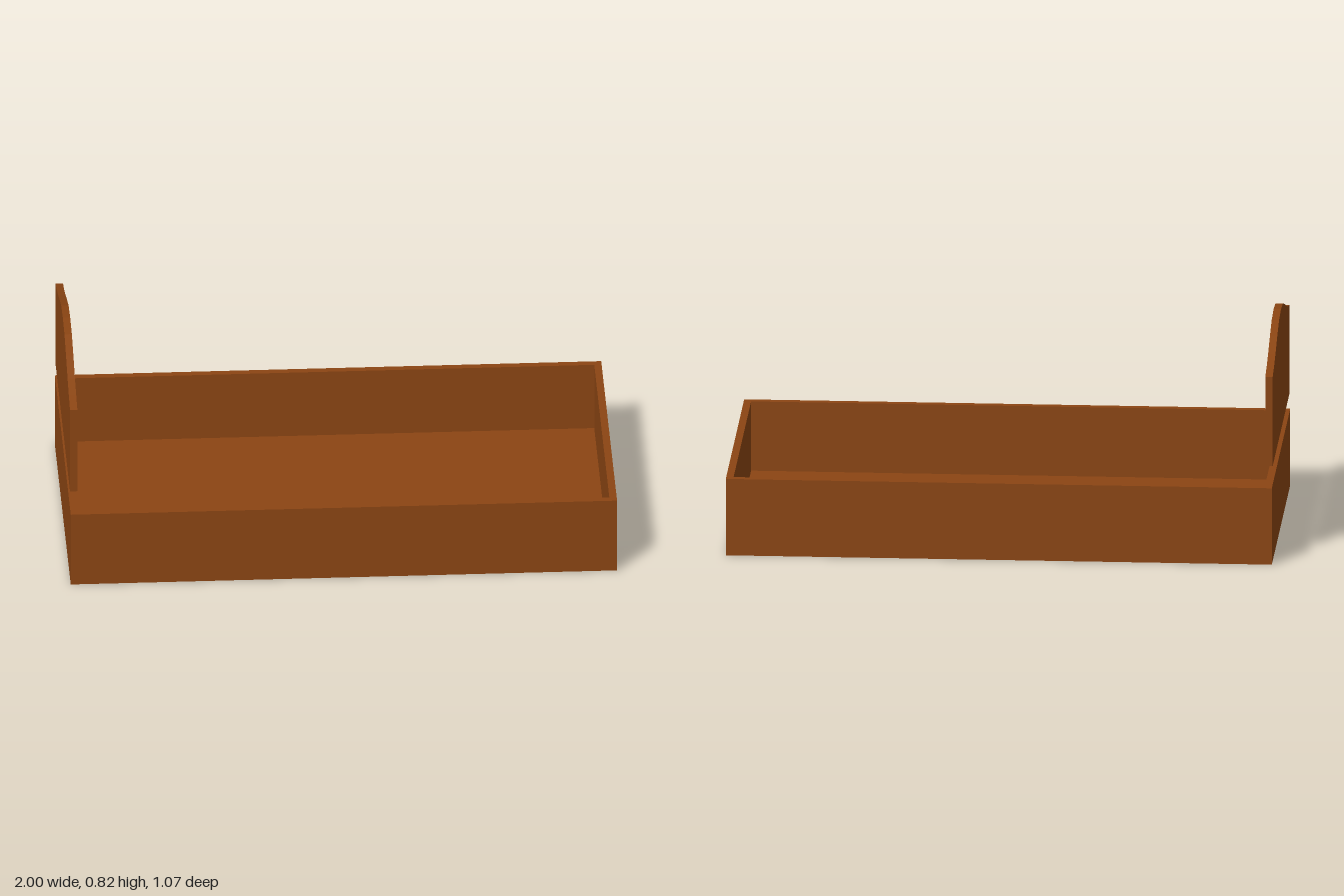
import * as THREE from 'three';

const LENGTH = 2, WIDTH = 1.07, HEIGHT = 0.29, BOARD = 0.027;

function rectangle(PathType, w, h) {
  return new PathType().moveTo(-w / 2, -h / 2).lineTo(w / 2, -h / 2)
    .lineTo(w / 2, h / 2).lineTo(-w / 2, h / 2).closePath();
}

export function createModel() {
  const model = new THREE.Group();
  model.name = 'bed';
  const wood = new THREE.MeshStandardMaterial({ color: 0x8b4513 });

  const add = (name, geometry, x, y, z) => {
    const mesh = new THREE.Mesh(geometry, wood);
    mesh.name = name;
    mesh.position.set(x, y, z);
    model.add(mesh);
  };

  // Base panel under the whole frame
  add('basePanel', new THREE.BoxGeometry(LENGTH, BOARD, WIDTH), 0, BOARD / 2, 0);

  // Four side rails as one hollow rectangular rim
  const rim = rectangle(THREE.Shape, LENGTH, WIDTH);
  rim.holes.push(rectangle(THREE.Path, LENGTH - 2 * BOARD, WIDTH - 2 * BOARD));
  const rails = new THREE.ExtrudeGeometry(rim, { depth: HEIGHT - BOARD, bevelEnabled: false });
  rails.rotateX(-Math.PI / 2);
  add('sideRails', rails, 0, BOARD, 0);

  // Headboard with a faceted crest, raised above the frame
  const half = [[0.485, 0.698], [0.404, 0.716], [0.321, 0.74], [0.215, 0.778], [0.11, 0.81]];
  const crest = [...half, [0, 0.82], ...half.map(([z, y]) => [-z, y]).reverse()];
  const outline = [[-0.485, 0.36], [0.485, 0.36], ...crest].map(([z, y]) => new THREE.Vector2(z, y));
  const headboard = new THREE.ExtrudeGeometry(new THREE.Shape(outline), { depth: BOARD, bevelEnabled: false });
  headboard.rotateY(Math.PI / 2);
  add('headboard', headboard, -LENGTH / 2, 0, 0);

  return model;
}
